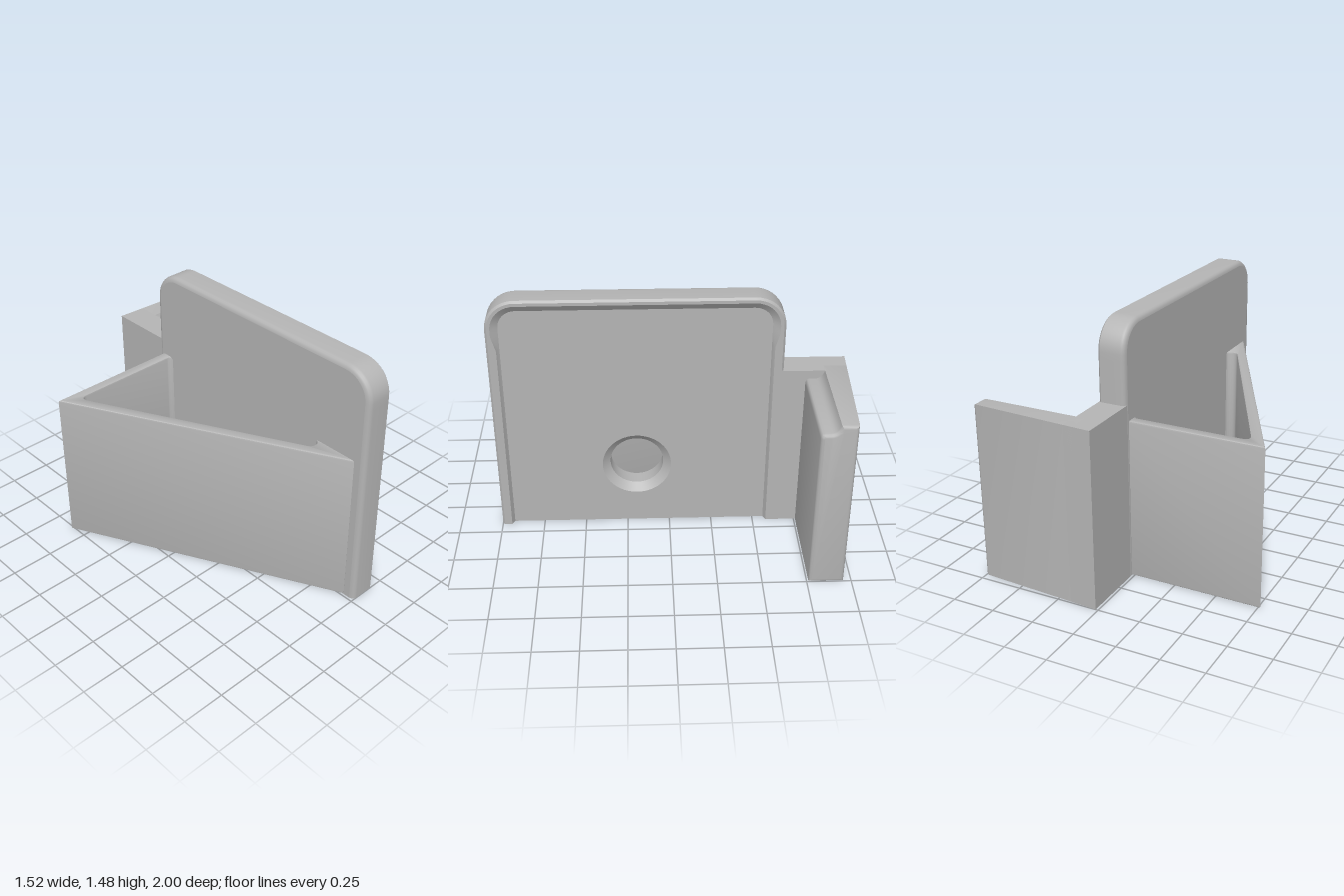
import * as THREE from 'three';
import { toCreasedNormals } from 'three/addons/utils/BufferGeometryUtils.js';

const V = (x, y) => new THREE.Vector2(x, y);
const BACK = 0.015, FRONT = 0.175, FLOOR = 0.145; // plate depth levels along x
const HOLE = { u: -0.19, y: 0.4 };                // shapes use u = -z

// U-shaped outline: up one side, over the rounded top, down the other side
function outline(side, top, corner = side) {
  const mid = -0.1825, half = 0.8175, y1 = 1.48 - top;
  const r = Math.max(0.17 - corner, 0.09);
  const left = [V(-(half - side), 0), V(-(half - side), 1.18), V(-(half - corner), 1.27)];
  for (let i = 0; i <= 10; i++) {
    const a = Math.PI - (i / 10) * Math.PI / 2;
    left.push(V(-(half - corner) + r + r * Math.cos(a), y1 - r + r * Math.sin(a)));
  }
  const right = left.map(p => V(-p.x, p.y)).reverse();
  return [...left, ...right].map(p => V(p.x + mid, p.y));
}

// Joins a list of outlines, each at its own depth
function loft(levels) {
  const pos = [];
  const put = (p, d) => pos.push(p.x, p.y, d);
  for (let i = 0; i < levels.length - 1; i++) {
    const [p, d] = levels[i], [q, e] = levels[i + 1];
    for (let j = 0; j < p.length - 1; j++) {
      put(p[j], d); put(q[j], e); put(p[j + 1], d);
      put(q[j], e); put(q[j + 1], e); put(p[j + 1], d);
    }
  }
  const g = new THREE.BufferGeometry();
  g.setAttribute('position', new THREE.Float32BufferAttribute(pos, 3));
  return g;
}

function faceWithHole(points, radius) {
  const s = new THREE.Shape(points);
  s.holes.push(new THREE.Path().absarc(HOLE.u, HOLE.y, radius, 0, Math.PI * 2, true));
  return new THREE.ShapeGeometry(s, 32);
}

// Slants the rear face forward towards the outer end
function taperRear(g) {
  const p = g.attributes.position;
  for (let i = 0; i < p.count; i++) {
    if (p.getZ(i) < -0.95) p.setZ(i, p.getZ(i) + 0.06 * (p.getX(i) - BACK));
  }
  return g;
}

export function createModel() {
  const group = new THREE.Group();
  const grey = new THREE.MeshStandardMaterial({ color: 0xb4b4b4, side: THREE.DoubleSide });
  grey.name = 'grey plastic';
  const add = (name, g, parent = group) => {
    const flat = g.index ? g.toNonIndexed() : g;
    const m = new THREE.Mesh(toCreasedNormals(flat, 0.6), grey);
    m.name = name;
    parent.add(m);
    return m;
  };

  // Upright plate with a raised rim, open at the bottom
  const plate = new THREE.Group();
  plate.name = 'plate';
  group.add(plate);
  const levels = [];
  for (let i = 0; i <= 4; i++) {
    const a = (i / 4) * Math.PI / 2, k = 0.03 * (1 - Math.sin(a));
    levels.push([outline(k, k), BACK + 0.03 * (1 - Math.cos(a))]);
  }
  levels.push([outline(0, 0), FRONT - 0.012]);
  levels.push([outline(0.012, 0.012), FRONT]);
  levels.push([outline(0.055, 0.03, 0.03), FRONT]);
  levels.push([outline(0.07, 0.07), FLOOR]);
  add('plateRim', loft(levels).rotateY(Math.PI / 2), plate);
  add('plateFace', faceWithHole(levels.at(-1)[0], 0.2)
    .translate(0, 0, FLOOR).rotateY(Math.PI / 2), plate);
  const back = faceWithHole(levels[0][0], 0.155).translate(0, 0, BACK).rotateY(Math.PI / 2);
  back.index.array.reverse();
  add('plateBack', back, plate);
  const foot = [
    ...levels.map(([p, d]) => V(p[0].x, d)),
    ...levels.map(([p, d]) => V(p.at(-1).x, d)).reverse(),
  ];
  add('plateBottom', new THREE.ShapeGeometry(new THREE.Shape(foot))
    .rotateX(Math.PI / 2).rotateY(Math.PI / 2), plate);

  // Countersunk screw hole
  add('screwHole', new THREE.LatheGeometry([V(0.2, FLOOR), V(0.155, 0.105), V(0.155, BACK)], 48)
    .rotateZ(-Math.PI / 2).translate(0, HOLE.y, -HOLE.u), plate);

  // Round-bottomed pads in the two upper corners
  for (const u of [-0.805, 0.44]) {
    const s = new THREE.Shape();
    s.moveTo(u - 0.125, 1.275);
    s.absarc(u, 1.275, 0.125, Math.PI, Math.PI * 2, false);
    const inner = Math.sign(u + 0.18);
    s.lineTo(u + 0.125, inner < 0 ? 1.405 : 1.31);
    s.lineTo(u + 0.04 * (inner < 0 ? 3 : 1), 1.405);
    s.lineTo(u - 0.04 * (inner < 0 ? 1 : 3), 1.405);
    s.lineTo(u - 0.125, inner < 0 ? 1.31 : 1.405);
    add('cornerPad', new THREE.ShapeGeometry(s, 20)
      .translate(0, 0, FLOOR + 0.002).rotateY(Math.PI / 2), plate);
  }

  // Lower extension of the plate towards the rear
  const ext = new THREE.BoxGeometry(FRONT - BACK, 1.03, 0.385);
  ext.translate((FRONT + BACK) / 2, 0.515, -0.8075);
  add('rearExtension', taperRear(ext));

  // Side arm with a stepped front lip
  const lip = new THREE.Shape();
  lip.moveTo(0.76, 0);
  lip.lineTo(1, 0);
  lip.lineTo(1, 1.03);
  lip.lineTo(0.865, 1.03);
  lip.quadraticCurveTo(0.85, 0.98, 0.81, 0.98);
  lip.lineTo(0.785, 0.98);
  lip.quadraticCurveTo(0.76, 0.98, 0.76, 0.95);
  lip.lineTo(0.76, 0);
  const arm = new THREE.ExtrudeGeometry(lip, {
    depth: 0.615, curveSegments: 6, bevelEnabled: true,
    bevelThickness: 0.02, bevelSize: 0.02, bevelOffset: -0.02, bevelSegments: 3,
  });
  arm.translate(0, 0, 0.12).rotateY(Math.PI / 2);
  add('sideArm', taperRear(arm));

  // Hollow triangular brace: rear wall and diagonal wall (shape y = -z)
  const b = new THREE.Shape();
  b.moveTo(-0.765, 0.6);
  b.lineTo(0.014, -0.93);
  b.lineTo(0.03, -0.93);
  b.lineTo(0.03, -0.66);
  b.lineTo(0.015, -0.66);
  b.quadraticCurveTo(0.005, -0.685, -0.02, -0.685);
  b.quadraticCurveTo(-0.05, -0.685, -0.06, -0.655);
  b.lineTo(-0.64, 0.495);
  b.quadraticCurveTo(-0.655, 0.54, -0.61, 0.54);
  b.lineTo(-0.01, 0.54);
  b.quadraticCurveTo(0.015, 0.54, 0.015, 0.515);
  b.lineTo(0.03, 0.515);
  b.lineTo(0.03, 0.6);
  b.lineTo(-0.765, 0.6);
  const brace = new THREE.ExtrudeGeometry(b, {
    depth: 0.911, curveSegments: 6, bevelEnabled: true,
    bevelThickness: 0.012, bevelSize: 0.008, bevelOffset: -0.008, bevelSegments: 2,
  });
  add('triangularBrace', brace.translate(0, 0, 0.012).rotateX(-Math.PI / 2));

  return group;
}
